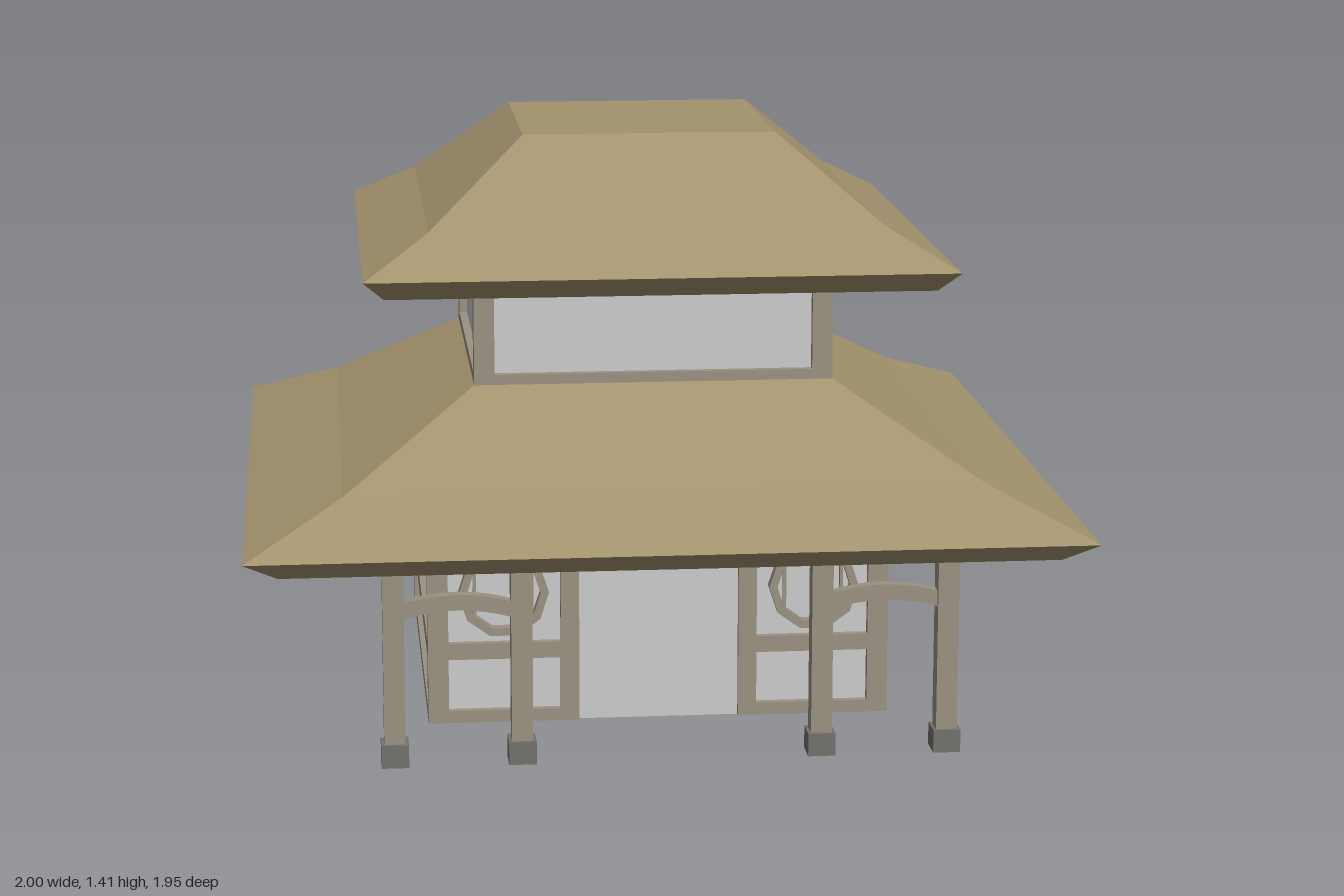
import * as THREE from 'three';

const mat = (color, extra = {}) => new THREE.MeshStandardMaterial({ color, flatShading: true, ...extra });

export function createModel() {
  const wood = mat(0x9a9182), thatch = mat(0xa3926d), plaster = mat(0xcccccc), stone = mat(0x74716c);
  const model = new THREE.Group();

  const group = (name, x = 0, y = 0, z = 0, parent = model) => {
    const g = new THREE.Group();
    g.name = name;
    g.position.set(x, y, z);
    parent.add(g);
    return g;
  };
  const add = (parent, name, geometry, material, x = 0, y = 0, z = 0) => {
    const m = new THREE.Mesh(geometry, material);
    m.name = name;
    m.position.set(x, y, z);
    parent.add(m);
    return m;
  };
  // box given by centre x, bottom and top y, centre z
  const box = (parent, name, material, w, d, x, y0, y1, z) =>
    add(parent, name, new THREE.BoxGeometry(w, y1 - y0, d), material, x, (y0 + y1) / 2, z);

  // hipped roof: rectangular rings [half x, half z, y] joined from the soffit out and up
  const roof = (name, rings) => {
    const corner = ([hx, hz, y], i) => [[hx, y, hz], [hx, y, -hz], [-hx, y, -hz], [-hx, y, hz]][i % 4];
    const pos = [];
    for (let r = 0; r < rings.length - 1; r++) {
      for (let i = 0; i < 4; i++) {
        const a = corner(rings[r], i), b = corner(rings[r], i + 1);
        const c = corner(rings[r + 1], i + 1), d = corner(rings[r + 1], i);
        pos.push(...a, ...b, ...c, ...a, ...c, ...d);
      }
    }
    const g = new THREE.BufferGeometry();
    g.setAttribute('position', new THREE.Float32BufferAttribute(pos, 3));
    g.computeVertexNormals();
    add(model, name, g, thatch);
  };

  roof('lowerRoof', [[0.5, 0.5, 0.61], [0.92, 0.913, 0.47], [1, 0.977, 0.52],
    [0.765, 0.745, 0.62], [0.44, 0.433, 0.815], [0, 0, 0.815]]);
  roof('upperRoof', [[0.4, 0.4, 1.14], [0.66, 0.645, 1.07], [0.71, 0.697, 1.12],
    [0.55, 0.53, 1.21], [0.31, 0.303, 1.41], [0, 0, 1.41]]);

  // timber-framed storey: inset plaster body, corner posts and rails [y0, y1]
  const T = 0.05, inset = 0.02;
  const storey = (name, hx, hz, z, y0, y1, rails, frontOpen) => {
    const g = group(name, 0, 0, z);
    box(g, 'wallPanels', plaster, 2 * (hx - inset), 2 * (hz - inset), 0, y0 + 0.002, y1, 0);
    for (const sx of [-1, 1]) {
      for (const sz of [-1, 1]) {
        box(g, 'cornerPost', wood, T, T, sx * (hx - T / 2), y0, y1, sz * (hz - T / 2));
      }
    }
    for (const [a, b] of rails) {
      for (const s of [-1, 1]) {
        box(g, 'sideRail', wood, T, 2 * (hz - T), s * (hx - T / 2), a, b, 0);
        if (s < 0 || !frontOpen) box(g, 'crossRail', wood, 2 * (hx - T), T, 0, a, b, s * (hz - T / 2));
      }
    }
    return g;
  };

  const HX = 0.565, HZ = 0.555;
  const lower = storey('lowerStorey', HX, HZ, 0.01, 0, 0.61,
    [[0, 0.03], [0.16, 0.2], [0.53, 0.61]], true);
  storey('upperStorey', 0.44, 0.433, 0, 0.8, 1.14, [[0.8, 0.84], [1.08, 1.14]], false);

  // decagonal window frame with a hole
  const polygon = (path, r) => {
    for (let i = 0; i < 10; i++) {
      const a = i * Math.PI / 5;
      path[i ? 'lineTo' : 'moveTo'](r * Math.cos(a), r * Math.sin(a));
    }
    path.closePath();
    return path;
  };
  const ring = polygon(new THREE.Shape(), 0.11);
  ring.holes.push(polygon(new THREE.Path(), 0.09));
  const ringGeo = new THREE.ExtrudeGeometry(ring, { depth: 0.03, bevelEnabled: false });

  // front wall: door posts, rails, round windows and the door between
  const zf = HZ - T / 2;
  for (const s of [-1, 1]) {
    box(lower, 'doorPost', wood, 0.045, T, s * 0.218, 0, 0.61, zf);
    for (const [a, b] of [[0, 0.03], [0.16, 0.2], [0.455, 0.49]]) {
      box(lower, 'frontRail', wood, 0.275, T, s * 0.378, a, b, zf);
    }
    const win = group('roundWindow', s * 0.38, 0.326, HZ - inset, lower);
    add(win, 'windowFrame', ringGeo, wood);
    for (const x of [-0.07, 0.07]) box(win, 'windowBar', wood, 0.008, 0.015, x, -0.065, 0.065, 0.005);
  }
  box(lower, 'doorLintel', wood, 0.39, T, 0, 0.53, 0.61, zf);
  box(lower, 'door', plaster, 0.39, 0.02, 0, 0, 0.53, HZ - inset);

  // arched brace between each pair of porch posts
  const arch = new THREE.Shape();
  arch.moveTo(-0.14, 0.352);
  arch.quadraticCurveTo(0, 0.398, 0.14, 0.352);
  arch.lineTo(0.14, 0.39);
  arch.quadraticCurveTo(0, 0.435, -0.14, 0.39);
  const archGeo = new THREE.ExtrudeGeometry(arch, { depth: 0.03, bevelEnabled: false, curveSegments: 8 });

  // porch
  const porch = group('porch', 0, 0, 0.868);
  for (const s of [-1, 1]) {
    for (const x of [0.355, 0.655]) {
      box(porch, 'porchPost', wood, 0.05, 0.05, s * x, 0.03, 0.49, 0);
      box(porch, 'postFoot', stone, 0.065, 0.07, s * x, 0, 0.055, 0);
    }
    add(porch, 'archBrace', archGeo, wood, s * 0.505, 0, -0.015);
  }
  return model;
}
